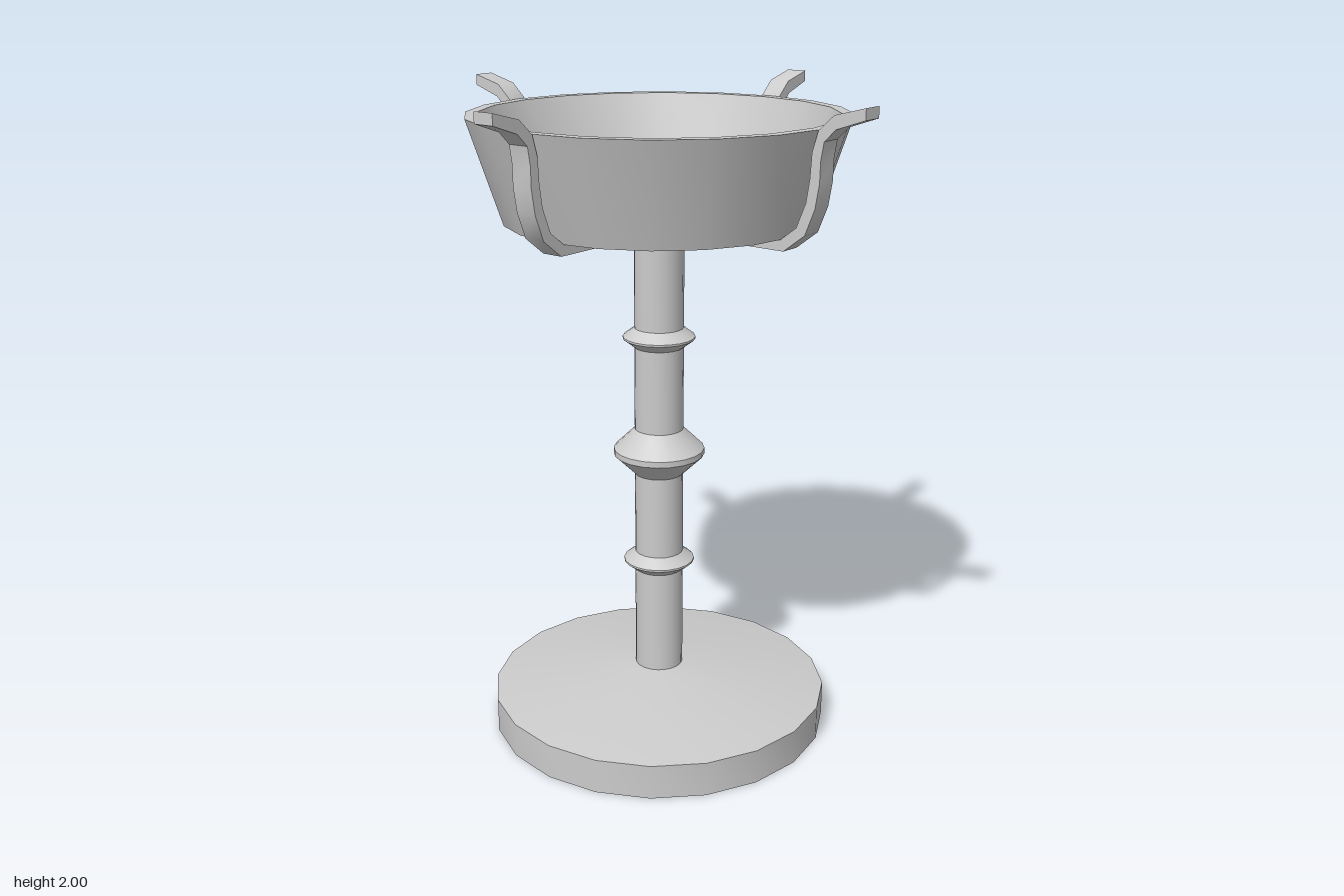
import * as THREE from 'three';
import { toCreasedNormals } from 'three/addons/utils/BufferGeometryUtils.js';

const material = new THREE.MeshStandardMaterial({ color: 0xcccccc });
const SIDES = 20;

// Turned part from a profile of [radius, height] points, listed bottom to top
function turned(name, profile) {
  const points = profile.map(([r, y]) => new THREE.Vector2(r, y));
  const mesh = new THREE.Mesh(toCreasedNormals(new THREE.LatheGeometry(points, SIDES), 0.5), material);
  mesh.name = name;
  return mesh;
}

// Double-coned collar around the column
function collar(name, y0, y1, radius, flat) {
  const mid = (y0 + y1) / 2;
  return turned(name, [[0.07, y0], [0.075, y0], [radius, mid - flat], [radius, mid + flat], [0.075, y1], [0.07, y1]]);
}

// Strap running under the bowl and curling outward above the rim
function armGeometry() {
  const outer = [[0, 1.593], [0.462, 1.593], [0.53, 1.645], [0.56, 1.72], [0.572, 1.79], [0.573, 1.85], [0.582, 1.902], [0.617, 1.936], [0.705, 1.966]];
  const inner = [[0.705, 1.998], [0.61, 1.973], [0.563, 1.93], [0.545, 1.87], [0.541, 1.8], [0.531, 1.735], [0.502, 1.663], [0.452, 1.625], [0, 1.625]];
  const shape = new THREE.Shape([...outer, ...inner].map(([x, y]) => new THREE.Vector2(x, y)));
  const width = 0.066;
  const geometry = new THREE.ExtrudeGeometry(shape, { depth: width, bevelEnabled: false });
  geometry.translate(0, 0, -width / 2);
  return toCreasedNormals(geometry, 0.6);
}

export function createModel() {
  const group = new THREE.Group();

  // Base and column
  group.add(turned('base', [[0, 0], [0.53, 0], [0.53, 0.108], [0.075, 0.18], [0, 0.18]]));
  group.add(turned('column', [[0.075, 0.17], [0.075, 1.63]]));
  group.add(collar('lowerCollar', 0.51, 0.57, 0.11, 0.003));
  group.add(collar('middleCollar', 0.83, 0.975, 0.14, 0.009));
  group.add(collar('upperCollar', 1.235, 1.295, 0.11, 0.003));

  // Open bowl with a thick wall
  group.add(turned('bowl', [[0, 1.625], [0.46, 1.625], [0.56, 1.93], [0.525, 1.93], [0.432, 1.655], [0, 1.655]]));

  // Four straps holding the bowl
  const geometry = armGeometry();
  for (let i = 0; i < 4; i++) {
    const arm = new THREE.Mesh(geometry, material);
    arm.name = 'arm' + (i + 1);
    arm.rotation.y = (i * Math.PI) / 2;
    group.add(arm);
  }
  return group;
}
